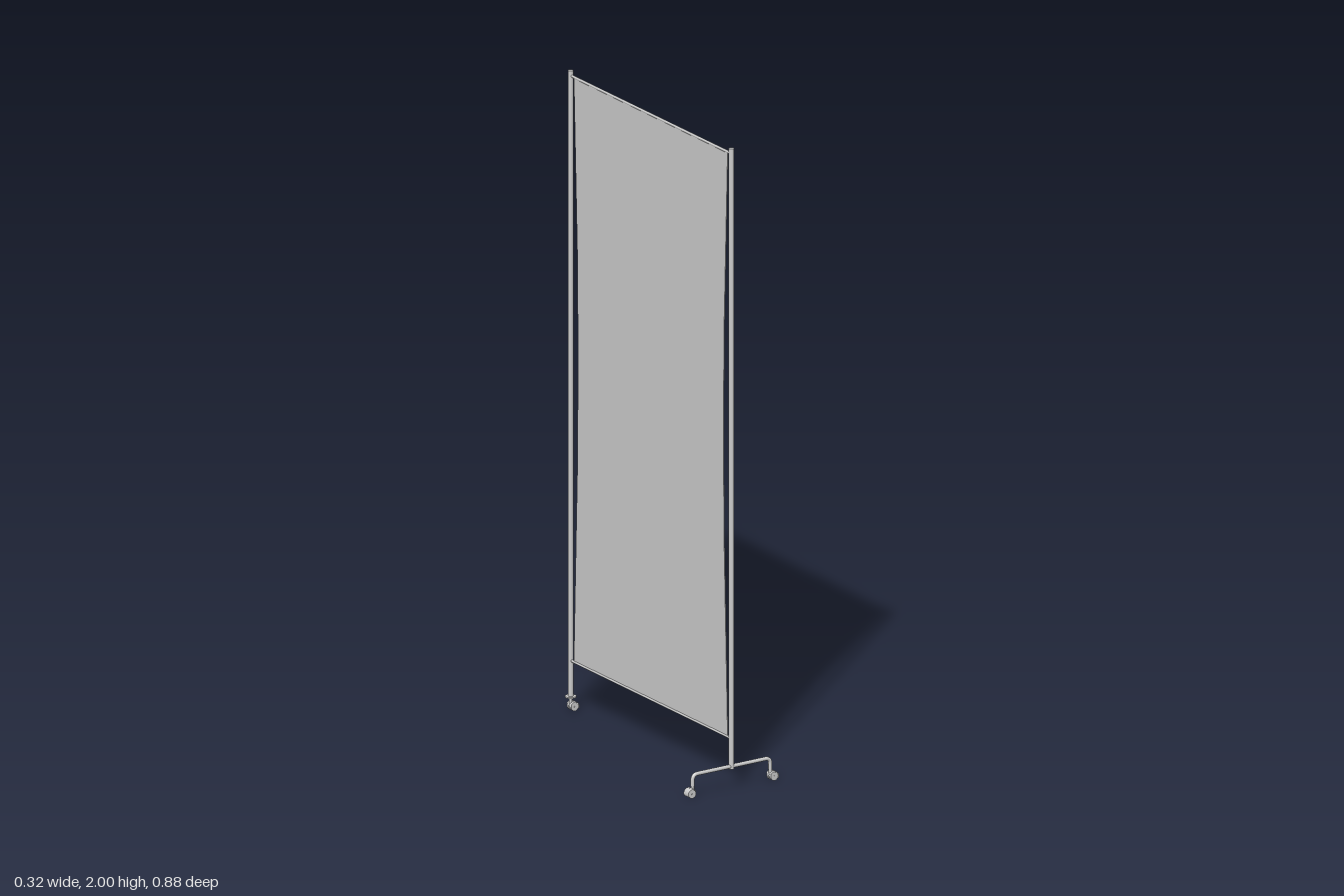
import * as THREE from 'three';

const grey = new THREE.MeshStandardMaterial({ color: 0xcccccc });
const greyBoth = new THREE.MeshStandardMaterial({ color: 0xcccccc, side: THREE.DoubleSide });
const POST_Z = 0.427;

function add(parent, name, geometry, x = 0, y = 0, z = 0, material = grey) {
  const mesh = new THREE.Mesh(geometry, material);
  mesh.name = name;
  mesh.position.set(x, y, z);
  parent.add(mesh);
  return mesh;
}

// Twin-wheel caster whose stem is at the group origin, trailing towards +x
function makeCaster(name) {
  const caster = new THREE.Group();
  caster.name = name;
  for (const side of [-1, 1]) {
    const wheel = add(caster, 'casterWheel', new THREE.CylinderGeometry(0.013, 0.013, 0.008, 20), 0.008, 0.013, side * 0.0075);
    wheel.rotation.x = Math.PI / 2;
  }
  const axle = add(caster, 'casterAxle', new THREE.CylinderGeometry(0.003, 0.003, 0.025, 10), 0.008, 0.013, 0);
  axle.rotation.x = Math.PI / 2;

  // Hood covering the upper half of the wheels, tilted over the trailing side
  const hoodShape = new THREE.Shape();
  hoodShape.absarc(0, 0, 0.0155, 0, Math.PI, false);
  hoodShape.absarc(0, 0, 0.0135, Math.PI, 0, true);
  const hoodGeometry = new THREE.ExtrudeGeometry(hoodShape, { depth: 0.025, bevelEnabled: false, curveSegments: 12 });
  hoodGeometry.translate(0, 0, -0.0125);
  const hood = add(caster, 'casterHood', hoodGeometry, 0.008, 0.013, 0);
  hood.rotation.z = -0.45;

  add(caster, 'casterBody', new THREE.BoxGeometry(0.012, 0.018, 0.007), 0.003, 0.02, 0);
  add(caster, 'casterStem', new THREE.CylinderGeometry(0.005, 0.005, 0.022, 12), 0, 0.034, 0);
  return caster;
}

export function createModel() {
  const model = new THREE.Group();
  model.name = 'rollingScreen';

  // Upright posts
  const posts = [['frontPost', POST_Z, 0.062], ['backPost', -POST_Z, 0.045]];
  for (const [name, z, bottom] of posts) {
    add(model, name, new THREE.CylinderGeometry(0.008, 0.008, 2 - bottom, 20), 0, (2 + bottom) / 2, z);
  }

  // Horizontal rods holding the fabric
  for (const [name, y] of [['topRod', 1.984], ['bottomRod', 0.157]]) {
    const rod = add(model, name, new THREE.CylinderGeometry(0.004, 0.004, POST_Z * 2, 12), 0, y, 0);
    rod.rotation.x = Math.PI / 2;
  }

  // Fabric panel with side edges drawn in towards the middle
  const edge = [[0.408, 0.157], [0.389, 0.78], [0.386, 1.1], [0.389, 1.42], [0.408, 1.984]];
  const outline = [...edge, ...edge.map(([z, y]) => [-z, y]).reverse()];
  const panelShape = new THREE.Shape(outline.map(([z, y]) => new THREE.Vector2(z, y)));
  const panelGeometry = new THREE.ExtrudeGeometry(panelShape, { depth: 0.002, bevelEnabled: false });
  panelGeometry.translate(0, 0, -0.001);
  add(model, 'fabricPanel', panelGeometry, 0, 0, 0, greyBoth).rotation.y = -Math.PI / 2;

  // Bent foot tube under the front post
  const v = (x, y) => new THREE.Vector3(x, y, 0);
  const footPath = new THREE.CurvePath();
  footPath.add(new THREE.LineCurve3(v(-0.138, 0.035), v(-0.138, 0.052)));
  footPath.add(new THREE.QuadraticBezierCurve3(v(-0.138, 0.052), v(-0.138, 0.07), v(-0.12, 0.07)));
  footPath.add(new THREE.LineCurve3(v(-0.12, 0.07), v(0.12, 0.07)));
  footPath.add(new THREE.QuadraticBezierCurve3(v(0.12, 0.07), v(0.138, 0.07), v(0.138, 0.052)));
  footPath.add(new THREE.LineCurve3(v(0.138, 0.052), v(0.138, 0.035)));
  add(model, 'footTube', new THREE.TubeGeometry(footPath, 100, 0.006, 14), 0, 0, POST_Z);

  // Casters at both ends of the foot
  for (const side of [-1, 1]) {
    const caster = makeCaster(side > 0 ? 'leftCaster' : 'rightCaster');
    caster.position.set(side * 0.138, 0, POST_Z);
    if (side < 0) caster.rotation.y = Math.PI;
    model.add(caster);
  }

  // Single caster and its collar disc under the back post
  add(model, 'backCollar', new THREE.CylinderGeometry(0.017, 0.017, 0.004, 24), 0, 0.044, -POST_Z);
  const backCaster = makeCaster('backCaster');
  backCaster.position.set(0, 0, -POST_Z);
  model.add(backCaster);

  return model;
}
